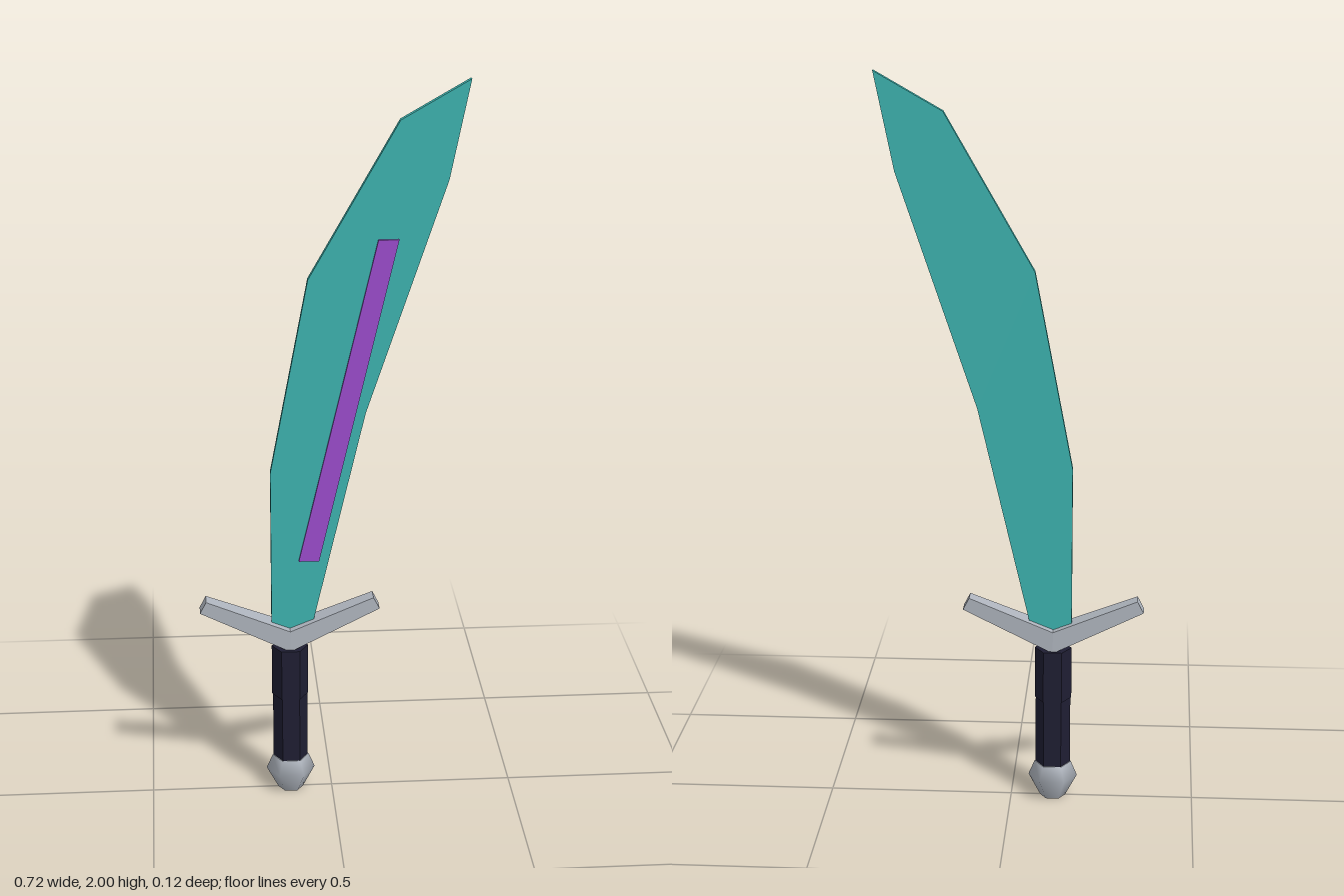
import * as THREE from 'three';

const AXIS = -0.115; // x of the hilt's centre line

function material(name, color) {
  const m = new THREE.MeshStandardMaterial({ color });
  m.name = name;
  return m;
}

// Flat plate from an outline, spanning z0 to z1
function plate(points, z0, z1) {
  const shape = new THREE.Shape(points.map(([x, y]) => new THREE.Vector2(x, y)));
  const geo = new THREE.ExtrudeGeometry(shape, { depth: z1 - z0, bevelEnabled: false });
  return geo.translate(0, 0, z0);
}

export function createModel() {
  const group = new THREE.Group();
  group.name = 'sword';
  const teal = material('teal blade', 0x3db3af);
  const purple = material('purple inlay', 0x9c4ccc);
  const steel = material('grey steel', 0xafb5be);
  const dark = material('dark grip', 0x1f1e33);
  dark.flatShading = true;

  const add = (name, geo, mat, parent = group) => {
    const mesh = new THREE.Mesh(geo, mat);
    mesh.name = name;
    parent.add(mesh);
    return mesh;
  };

  // Curved, faceted blade
  add('blade', plate([
    [-0.165, 0.47], [-0.06, 0.47], [0.09, 1.11], [0.302, 1.74],
    [0.355, 2.0], [0.175, 1.897], [-0.063, 1.48], [-0.165, 0.945],
  ], -0.01, 0.008), teal);

  // Raised strip on the front of the blade
  add('bladeInlay', plate([
    [-0.09, 0.69], [-0.035, 0.69], [0.174, 1.585], [0.12, 1.585],
  ], 0.007, 0.015), purple);

  // Two guard arms, thinning in depth towards their tips
  const arm = plate([[0, 0.43], [0.245, 0.547], [0.228, 0.58], [0, 0.49]], -0.033, 0.033);
  const pos = arm.attributes.position;
  for (let i = 0; i < pos.count; i++) {
    pos.setZ(i, pos.getZ(i) * (1 - 0.35 * pos.getX(i) / 0.245));
  }
  arm.computeVertexNormals();
  const guard = new THREE.Group();
  guard.name = 'guard';
  guard.position.set(AXIS, 0, -0.001);
  group.add(guard);
  add('guardLeftArm', arm, steel, guard);
  add('guardRightArm', arm, steel, guard).rotation.y = Math.PI;

  // Hexagonal grip with a slightly wider upper part
  for (const [name, radius, y0, y1] of [
    ['gripUpper', 0.05, 0.29, 0.435], ['gripLower', 0.0475, 0.09, 0.29],
  ]) {
    const geo = new THREE.CylinderGeometry(radius, radius, y1 - y0, 6);
    geo.rotateY(Math.PI / 6);
    add(name, geo, dark).position.set(AXIS, (y0 + y1) / 2, 0);
  }

  // Rounded six-sided pommel with flat ends
  const profile = [[0.035, 0], [0.067, 0.06], [0.05, 0.1]];
  const pommel = new THREE.LatheGeometry(profile.map(([r, y]) => new THREE.Vector2(r, y)), 6);
  pommel.rotateY(Math.PI / 6);
  add('pommel', pommel, steel).position.x = AXIS;
  for (const [name, r, y, dir] of [['pommelBase', 0.035, 0, 1], ['pommelTop', 0.05, 0.1, -1]]) {
    const cap = new THREE.CircleGeometry(r, 6).rotateX(dir * Math.PI / 2);
    add(name, cap, steel).position.set(AXIS, y, 0);
  }

  return group;
}
